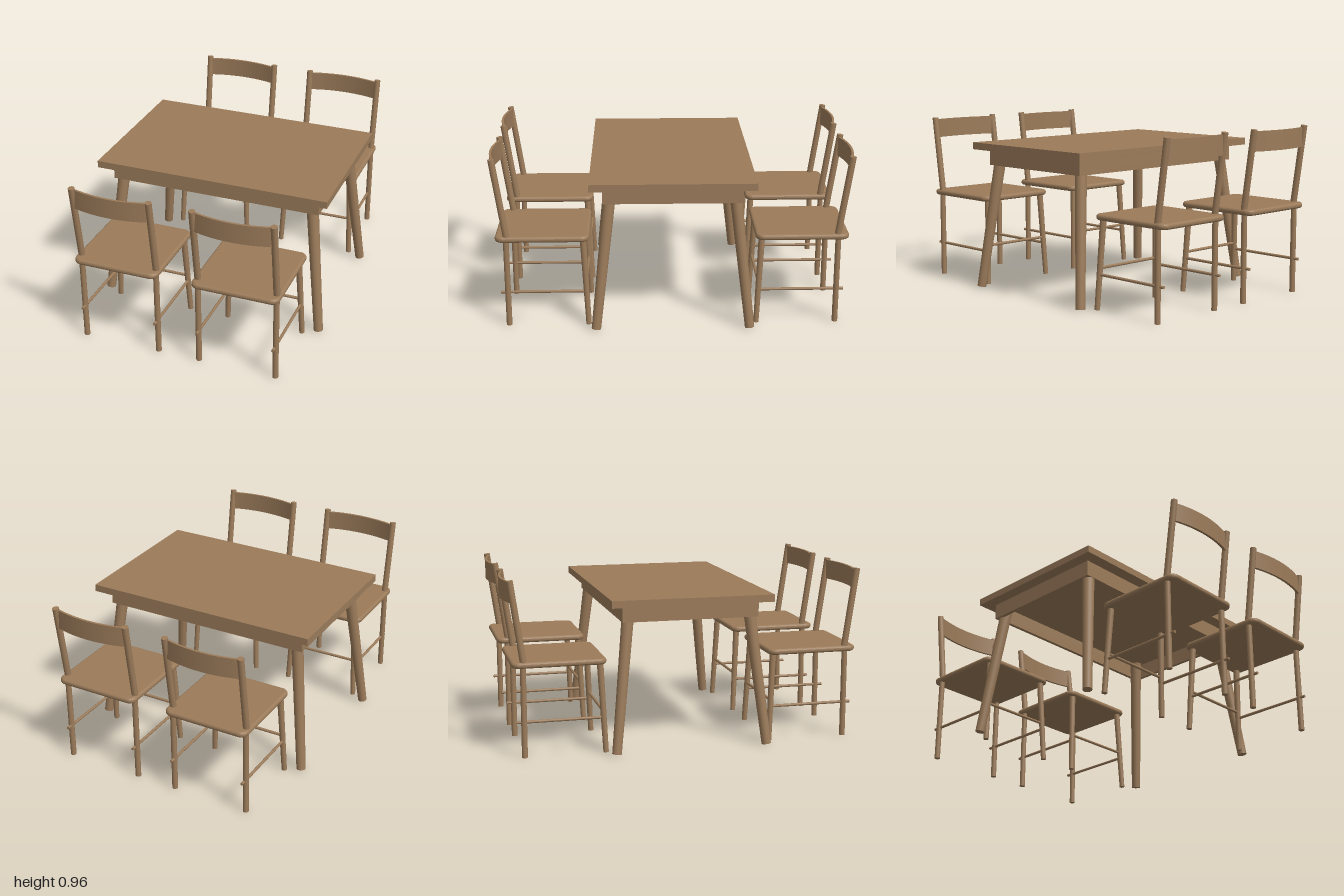
import * as THREE from 'three';

const wood = new THREE.MeshStandardMaterial({ color: 0x9b7b5a });
wood.name = 'wood';

function add(parent, name, geometry, x = 0, y = 0, z = 0) {
  const mesh = new THREE.Mesh(geometry, wood);
  mesh.name = name;
  mesh.position.set(x, y, z);
  parent.add(mesh);
  return mesh;
}

// round bar between two points, with its own radius at each end
function rod(parent, name, from, to, rFrom, rTo = rFrom) {
  const a = new THREE.Vector3(...from), b = new THREE.Vector3(...to);
  const dir = b.clone().sub(a);
  const mesh = add(parent, name, new THREE.CylinderGeometry(rTo, rFrom, dir.length(), 20));
  mesh.position.copy(a).add(b).multiplyScalar(0.5);
  mesh.quaternion.setFromUnitVectors(new THREE.Vector3(0, 1, 0), dir.normalize());
  return mesh;
}

function roundedRect(w, d, r) {
  const s = new THREE.Shape();
  const x = w / 2, y = d / 2;
  s.absarc(x - r, y - r, r, 0, Math.PI / 2);
  s.absarc(-x + r, y - r, r, Math.PI / 2, Math.PI);
  s.absarc(-x + r, -y + r, r, Math.PI, Math.PI * 1.5);
  s.absarc(x - r, -y + r, r, Math.PI * 1.5, Math.PI * 2);
  s.closePath();
  return s;
}

function createTable() {
  const table = new THREE.Group();
  table.name = 'table';
  add(table, 'tableTop', new THREE.BoxGeometry(1.35, 0.04, 0.9), 0, 0.83, 0);
  // open apron frame
  for (const s of [-1, 1]) {
    add(table, 'apronLong', new THREE.BoxGeometry(1.22, 0.09, 0.02), 0, 0.765, s * 0.37);
    add(table, 'apronShort', new THREE.BoxGeometry(0.02, 0.09, 0.72), s * 0.6, 0.765, 0);
    // splayed, tapering legs
    for (const t of [-1, 1]) {
      rod(table, 'tableLeg', [s * 0.647, 0.008, t * 0.424], [s * 0.556, 0.812, t * 0.334], 0.026, 0.034);
    }
  }
  return table;
}

// chair for the +z side, its back towards +z
function createChair() {
  const chair = new THREE.Group();
  chair.name = 'chair';

  // seat with a bullnose edge
  const bevel = 0.015;
  const seat = new THREE.ExtrudeGeometry(roundedRect(0.49 - 2 * bevel, 0.515 - 2 * bevel, 0.03), {
    depth: 0.003, bevelEnabled: true, bevelSize: bevel, bevelThickness: bevel, bevelSegments: 5, curveSegments: 6,
  });
  seat.rotateX(-Math.PI / 2);
  add(chair, 'seat', seat, 0, 0.506, 0.714);

  for (const s of [-1, 1]) {
    rod(chair, 'innerLeg', [s * 0.224, 0.001, 0.467], [s * 0.2, 0.505, 0.491], 0.015, 0.018);
    rod(chair, 'outerLeg', [s * 0.22, 0, 0.91], [s * 0.22, 0.505, 0.91], 0.016);
    rod(chair, 'backPost', [s * 0.22, 0.505, 0.905], [s * 0.22, 0.96, 0.97], 0.018);
    rod(chair, 'sideStretcher', [s * 0.216, 0.195, 0.462], [s * 0.216, 0.195, 0.95], 0.008);
  }
  rod(chair, 'crossStretcher', [-0.213, 0.23, 0.478], [0.213, 0.23, 0.478], 0.008);

  // bowed back rail: thin arc in plan, raised to its height
  const half = 0.222, sag = 0.036, thick = 0.013;
  const R = (half * half + sag * sag) / (2 * sag);
  const sweep = Math.asin(half / R);
  const arc = new THREE.Shape();
  arc.absarc(0, 0, R, Math.PI / 2 - sweep, Math.PI / 2 + sweep, false);
  arc.absarc(0, 0, R - thick, Math.PI / 2 + sweep, Math.PI / 2 - sweep, true);
  arc.closePath();
  const rail = new THREE.ExtrudeGeometry(arc, { depth: 0.11, bevelEnabled: false, curveSegments: 24 });
  rail.rotateX(Math.PI / 2);
  add(chair, 'backRail', rail, 0, 0.95, 1 - R);
  return chair;
}

export function createModel() {
  const model = new THREE.Group();
  model.name = 'diningSet';
  model.add(createTable());
  // two chairs on each long side
  for (const turn of [0, Math.PI]) {
    for (const x of [-0.34, 0.34]) {
      const side = new THREE.Group();
      side.name = 'chairPlace';
      const chair = createChair();
      chair.position.x = x;
      side.add(chair);
      side.rotation.y = turn;
      model.add(side);
    }
  }
  return model;
}
